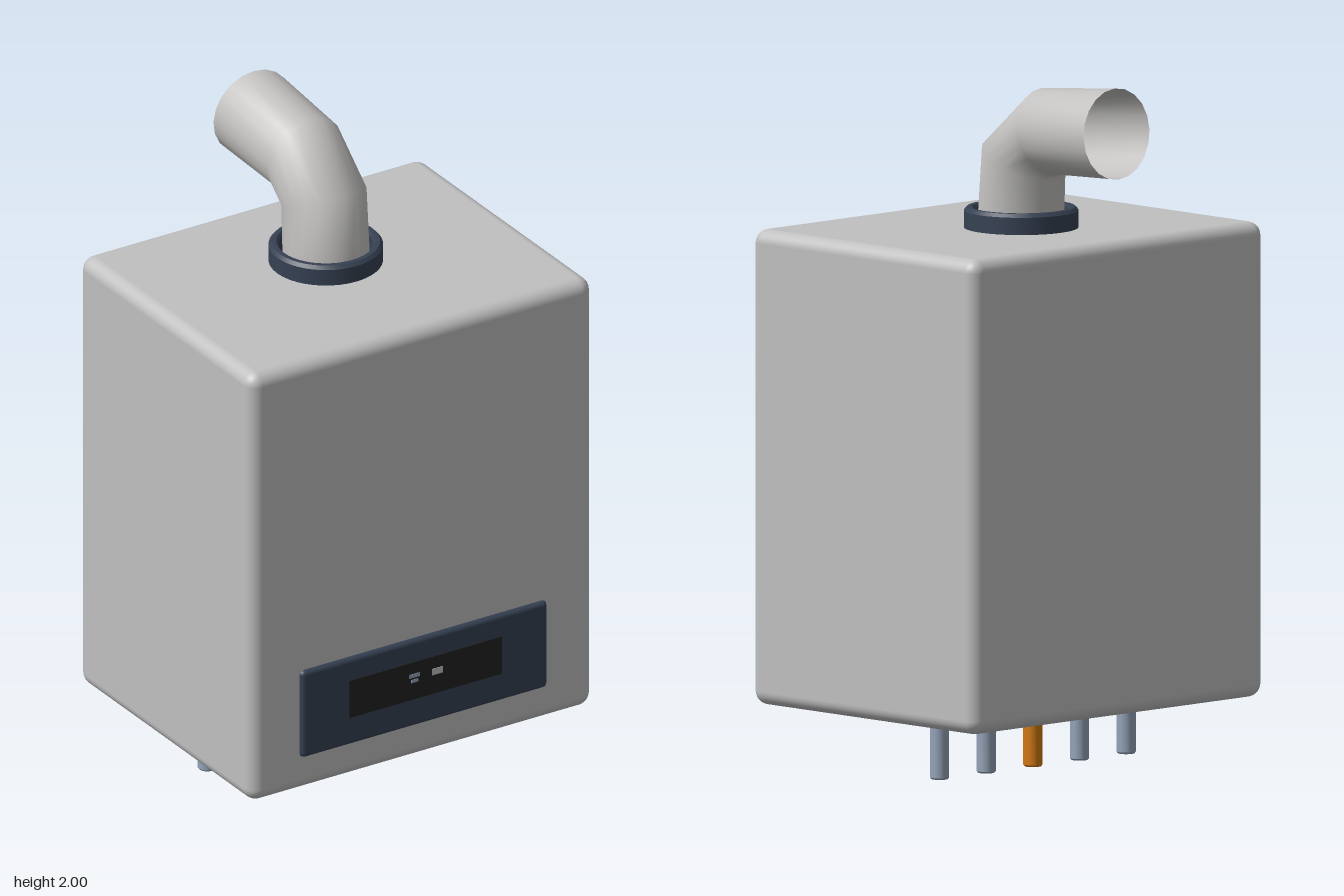
import * as THREE from 'three';
import { RoundedBoxGeometry } from 'three/addons/geometries/RoundedBoxGeometry.js';
import { toCreasedNormals } from 'three/addons/utils/BufferGeometryUtils.js';

const material = (name, color, side = THREE.FrontSide) => {
  const m = new THREE.MeshStandardMaterial({ color, side });
  m.name = name;
  return m;
};

// Tube skinned over tilted rings: [centre y, centre z, radius, up y, up z]
function ringTube(rings, sides) {
  const pos = [], index = [];
  for (const [cy, cz, r, uy, uz] of rings) {
    const len = Math.hypot(uy, uz);
    for (let i = 0; i < sides; i++) {
      const a = (i / sides) * Math.PI * 2;
      const s = (Math.sin(a) * r) / len;
      pos.push(Math.cos(a) * r, cy + s * uy, cz + s * uz);
    }
  }
  for (let k = 0; k < rings.length - 1; k++) {
    for (let i = 0; i < sides; i++) {
      const a = k * sides + i, b = k * sides + ((i + 1) % sides);
      index.push(a, a + sides, b, b, a + sides, b + sides);
    }
  }
  // Reverse the winding so that the outside is the front
  for (let i = 0; i < index.length; i += 3) [index[i + 1], index[i + 2]] = [index[i + 2], index[i + 1]];
  const g = new THREE.BufferGeometry();
  g.setAttribute('position', new THREE.Float32BufferAttribute(pos, 3));
  g.setIndex(index);
  g.computeVertexNormals();
  return g;
}

const lathe = (points, sides) =>
  toCreasedNormals(new THREE.LatheGeometry(points.map(([x, y]) => new THREE.Vector2(x, y)), sides), 0.6);

export function createModel() {
  const group = new THREE.Group();
  const casing = material('casing grey', 0xc0c0c0);
  const flueMetal = material('flue grey', 0xc2c1bf, THREE.DoubleSide);
  const navy = material('dark slate', 0x364153);
  const black = material('screen black', 0x222222);
  const steel = material('steel blue', 0x94a3b8);
  const orange = material('gas orange', 0xd07812);
  const add = (name, geometry, mat, x, y, z) => {
    const mesh = new THREE.Mesh(geometry, mat);
    mesh.name = name;
    mesh.position.set(x, y, z);
    group.add(mesh);
  };

  // Casing and control panel
  add('casing', new RoundedBoxGeometry(1.17, 1.38, 0.925, 4, 0.04), casing, 0, 0.87, -0.0105);
  add('controlPanel', new RoundedBoxGeometry(0.84, 0.28, 0.045, 3, 0.015), navy, 0, 0.43, 0.443);
  add('screen', new THREE.BoxGeometry(0.52, 0.12, 0.004), black, 0, 0.44, 0.466);

  // Screen symbols
  add('leftSymbolTop', new THREE.BoxGeometry(0.034, 0.012, 0.002), steel, -0.038, 0.457, 0.4685);
  add('leftSymbolBottom', new THREE.BoxGeometry(0.024, 0.01, 0.002), steel, -0.038, 0.44, 0.4685);
  add('rightSymbol', new THREE.BoxGeometry(0.038, 0.02, 0.002), casing, 0.04, 0.451, 0.4685);

  // Flue collar, an open ring around the flue
  add('flueCollar', lathe([[0.135, 0], [0.165, 0], [0.165, 0.05], [0.156, 0.06], [0.142, 0.06],
    [0.135, 0.052], [0.135, 0]], 40), navy, 0, 1.56, -0.065);

  // Bent flue pipe, open at the back
  add('fluePipe', ringTube([
    [1.56, -0.062, 0.126, 0, 1],
    [1.76, -0.075, 0.126, 0.1, 0.23],
    [1.85, -0.18, 0.126, 0.24, 0.06],
    [1.87, -0.458, 0.132, 0.26, 0.015],
  ], 20), flueMetal, 0, 0, 0);

  // Five connection pipes below; the middle one is gas
  const stub = lathe([[0, 0], [0.024, 0], [0.028, 0.005], [0.028, 0.2]], 20);
  for (let i = -2; i <= 2; i++) {
    add(i === 0 ? 'gasPipe' : 'waterPipe', stub, i === 0 ? orange : steel, i * 0.187, 0, -0.113);
  }
  return group;
}
